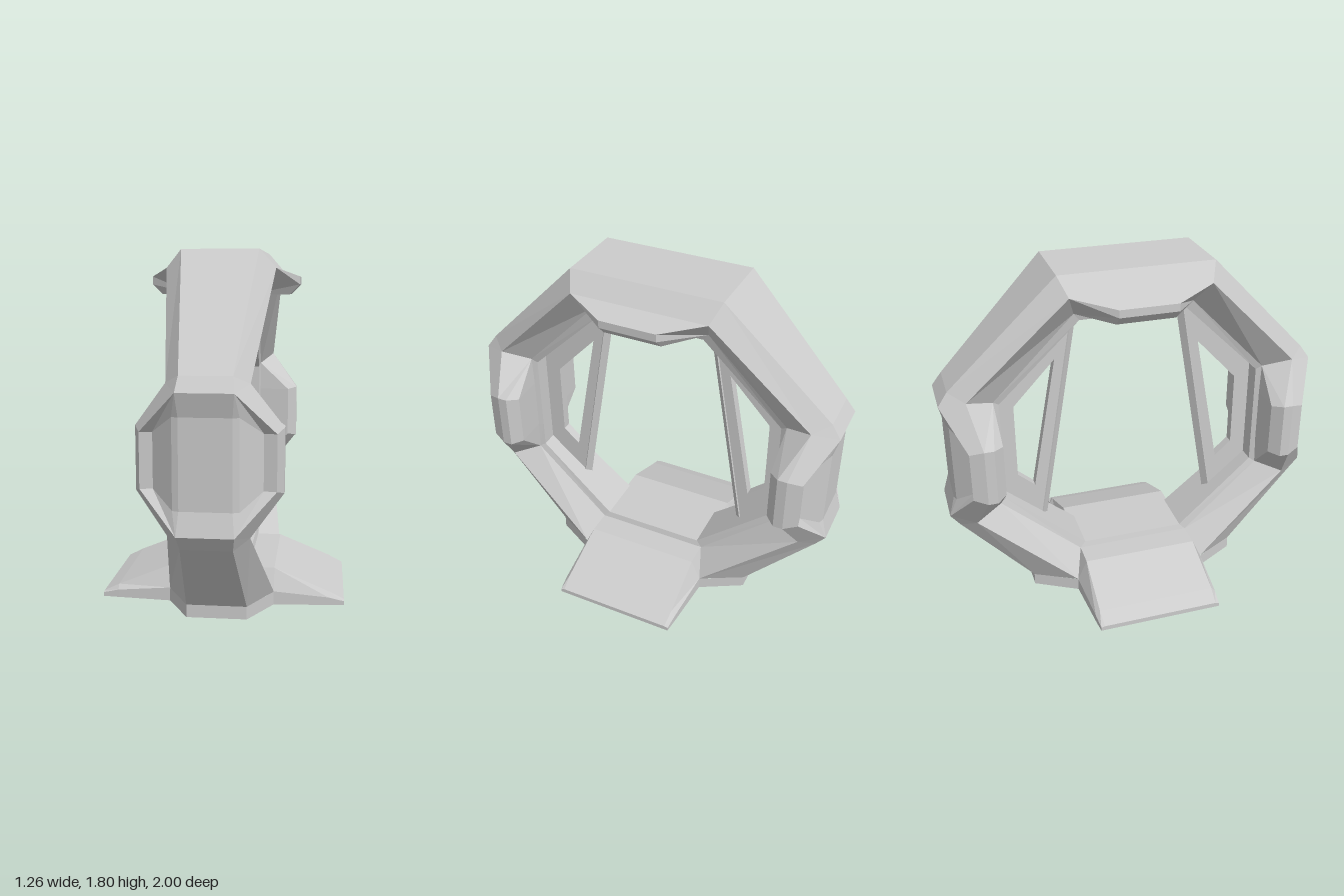
import * as THREE from 'three';

const material = new THREE.MeshStandardMaterial({
  color: 0xcccccc, flatShading: true, side: THREE.DoubleSide,
});

function add(group, name, geometry) {
  const mesh = new THREE.Mesh(geometry, material);
  mesh.name = name;
  group.add(mesh);
  return mesh;
}

// Faceted skin over rows of [x, y, z] points; closed wraps each row around
function loft(rows, closed) {
  const positions = [];
  for (let i = 0; i < rows.length - 1; i++) {
    const row = rows[i], next = rows[i + 1];
    for (let j = 0; j < row.length - (closed ? 0 : 1); j++) {
      const k = (j + 1) % row.length;
      const a = row[j], b = row[k], c = next[k], d = next[j];
      positions.push(...a, ...d, ...b, ...b, ...d, ...c);
    }
  }
  const geometry = new THREE.BufferGeometry();
  geometry.setAttribute('position', new THREE.Float32BufferAttribute(positions, 3));
  geometry.computeVertexNormals();
  return geometry;
}

const mirrorX = row => row.map(([x, y, z]) => [-x, y, z]).reverse();
const mirrorZ = row => row.map(([x, y, z]) => [x, y, -z]);
const flipY = row => row.map(([x, y, z]) => [x, 1.7 - y, z]);

// Plain half-section: outer edge, widest edge, inner edge, hole edge
const plain = (a, b, d, e) => [a, a, a, b, b, d, d, d, e];

const deckEdge = [[0.14, 0.18, 0.31], [0.13, 0.21, 0.28]];

// Ring of mirrored half-sections, open underneath
function ringGeometry() {
  const topMiddle = [[0.19, 1.8, 0.15], [0.19, 1.8, 0.15], [0.19, 1.8, 0.15], [0.27, 1.71, 0.15],
    [0.38, 1.67, 0.15], [0.38, 1.63, 0.15], [0.33, 1.58, 0.15], [0.14, 1.58, 0.15], [0.13, 1.54, 0.15]];
  const topCorner = plain([0.19, 1.8, 0.4], [0.27, 1.71, 0.36], [0.14, 1.58, 0.31], [0.13, 1.54, 0.28]);
  const neckInner = [[0.12, 1.15, 0.73], [0.11, 1.13, 0.7]];
  const neckSide = [0.19, 1.2, 0.87];
  const podNeck = plain([0.12, 1.24, 0.95], neckSide, ...neckInner);
  const podRim = plain([0.13, 1.17, 1], neckSide, ...neckInner);
  podRim[3] = podRim[0];
  const podPanel = [[0.12, 1.06, 0.97], [0.15, 1.06, 0.96], [0.25, 0.98, 0.88], [0.31, 0.98, 0.89],
    [0.34, 1, 0.82], [0.34, 1, 0.77], [0.29, 0.99, 0.72], [0.12, 0.99, 0.725], [0.11, 0.99, 0.7]];
  const bottomCorner = plain([0.15, 0.065, 0.58], [0.27, 0.07, 0.36], ...deckEdge);

  const front = [topMiddle, topCorner, podNeck, podRim, podPanel,
    flipY(podPanel), flipY(podRim), flipY(podNeck), bottomCorner];
  const back = front.map(mirrorZ).reverse();
  // start and end at the base, which the deck spans
  return loft([...back, ...front].map(s => [...s, ...mirrorX(s)]), true);
}

// Web plate with a window, drawn in z-y and extruded across x
function webGeometry() {
  const points = list => list.map(([z, y]) => new THREE.Vector2(z, y));
  const depth = 0.05;
  const shape = new THREE.Shape(points(
    [[0.29, 1.54], [0.49, 0.37], [0.73, 0.55], [0.73, 1.15], [0.32, 1.57]]));
  shape.holes.push(new THREE.Path(points(
    [[0.39, 1.3], [0.615, 1.06], [0.615, 0.65], [0.525, 0.57]])));
  const geometry = new THREE.ExtrudeGeometry(shape, { depth, bevelEnabled: false });
  geometry.translate(0, 0, -depth / 2);
  geometry.rotateY(-Math.PI / 2);
  return geometry;
}

// Square strut on edge, leaning along the web down into the base
function strutGeometry() {
  const top = [1.56, 0.29], foot = [0.02, 0.55];
  const dy = top[0] - foot[0], dz = top[1] - foot[1];
  const geometry = new THREE.CylinderGeometry(0.03, 0.03, Math.hypot(dy, dz), 4);
  geometry.rotateX(Math.atan2(dz, dy));
  geometry.translate(0, (top[0] + foot[0]) / 2, (top[1] + foot[1]) / 2);
  return geometry;
}

// Sloping foot shell, open underneath: station x, then [y, z] from ground to top
function footGeometry(s) {
  const stations = [
    [0.14, [0.18, 0.31], [0.18, 0.31], [0.18, 0.31]],
    [0.27, [0, 0.36], [0.07, 0.36], [0.18, 0.31]],
    [0.55, [0, 0.338], [0.04, 0.338], [0.065, 0.315]],
    [0.63, [0, 0.33], [0.02, 0.33], [0.025, 0.31]],
    [0.63, [0, 0.33], [0, 0.33], [0, 0.31]],
  ];
  return loft(stations.map(([x, ...profile]) => {
    const half = profile.map(([y, z]) => [s * x, y, s * z]);
    return [...half, ...mirrorZ(half).reverse()];
  }), false);
}

export function createModel() {
  const model = new THREE.Group();
  model.name = 'ringGate';

  add(model, 'ring', ringGeometry());

  // Deck across the bottom of the ring
  const deckRow = [...deckEdge, ...mirrorX(deckEdge)];
  add(model, 'deck', loft([deckRow, mirrorZ(deckRow)].reverse(), false));

  // Web and strut inside the front and back of the ring
  const web = webGeometry(), strut = strutGeometry();
  for (const [name, turn] of [['frontBrace', 0], ['backBrace', Math.PI]]) {
    const brace = new THREE.Group();
    brace.name = name;
    add(brace, 'web', web);
    add(brace, 'strut', strut);
    brace.rotation.y = turn;
    model.add(brace);
  }

  // Low walls under the front and back of the ring
  const wallRow = y => [[0.27, y, 0.36], [0.15, y, 0.58], [-0.15, y, 0.58], [-0.27, y, 0.36]];
  const wall = loft([wallRow(0.068), wallRow(0)], false);
  add(model, 'frontBaseWall', wall);
  add(model, 'backBaseWall', wall).rotation.y = Math.PI;

  // Feet on both sides
  add(model, 'leftFoot', footGeometry(1));
  add(model, 'rightFoot', footGeometry(-1));
  return model;
}
